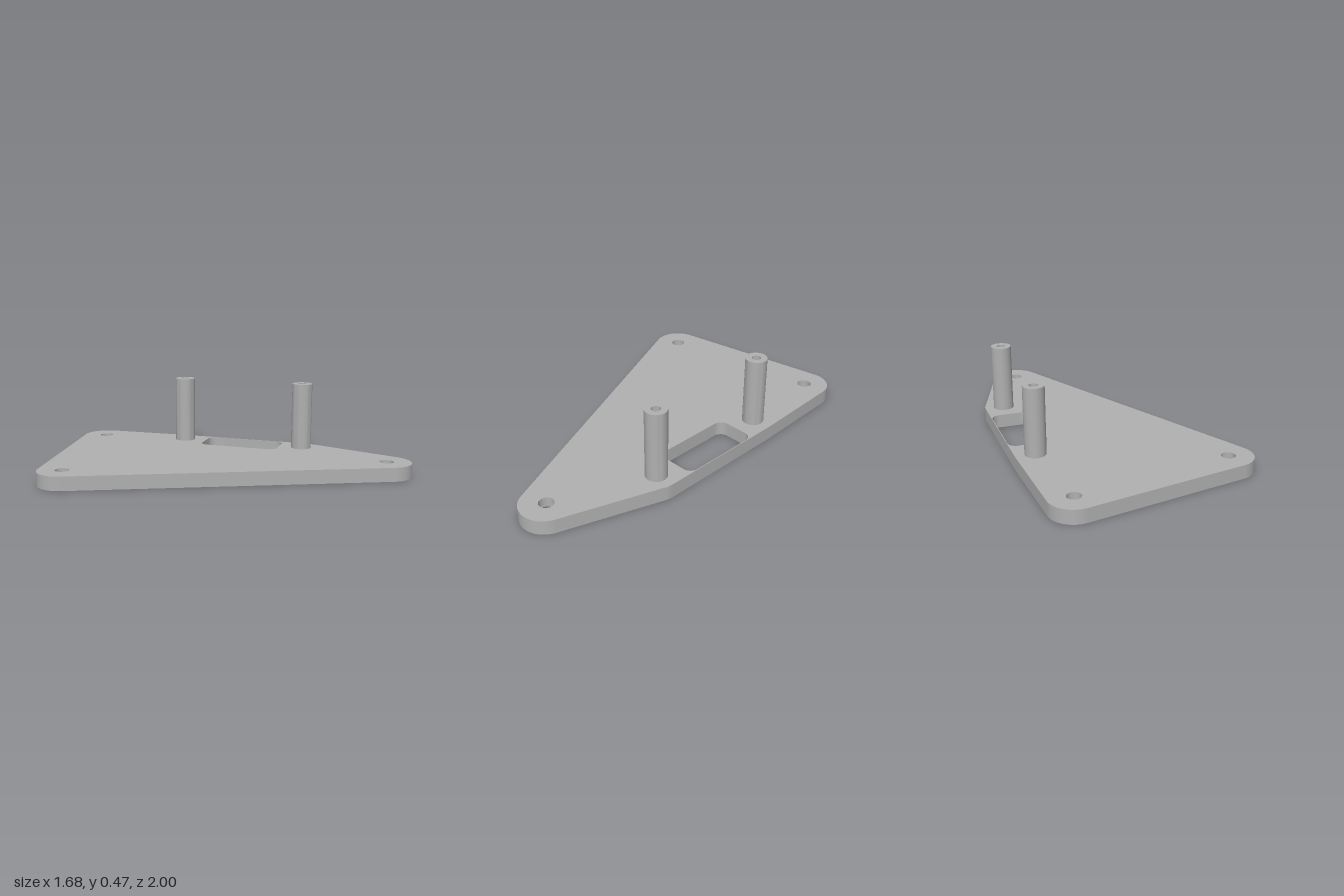
import * as THREE from 'three';
import { toCreasedNormals } from 'three/addons/utils/BufferGeometryUtils.js';

const PLATE = 0.08, STEP = 0.04, POST_TOP = 0.475;

// Plan positions as [x, z]
const screws = { left: [-0.7, -0.32], back: [0.07, -0.86], front: [0.7, 0.86] };
const posts = [[0.34, -0.395], [0.66, 0.285]];

// Outline wrapped tightly round circles [x, z, r], listed counter-clockwise from above
function wrap(circles, path) {
  const n = circles.length;
  const tangent = (a, b) => {
    const dx = b[0] - a[0], dy = a[1] - b[1];
    return Math.atan2(dy, dx) - Math.acos((a[2] - b[2]) / Math.hypot(dx, dy));
  };
  circles.forEach((c, i) => {
    const start = tangent(circles[(i + n - 1) % n], c);
    const end = tangent(c, circles[(i + 1) % n]);
    path.absarc(c[0], -c[1], c[2], start, end, false);
  });
  path.closePath();
  return path;
}

// Window beside the posts, laid out along the line joining them
function windowPath() {
  const [p, q] = posts;
  const len = Math.hypot(q[0] - p[0], q[1] - p[1]);
  const ux = (q[0] - p[0]) / len, uz = (q[1] - p[1]) / len;
  const at = (s, t) => [p[0] + s * ux + t * uz, p[1] + s * uz - t * ux, 0.05];
  return wrap([at(0.187, -0.068), at(0.568, -0.068), at(0.568, 0.061), at(0.187, 0.061)], new THREE.Path());
}

// One layer of the plate, with screw holes of the given radius
function plateLayer(holeRadius, y, height) {
  const shape = wrap([
    [...screws.left, 0.14], [...screws.front, 0.14],
    [...posts[1], 0.115], [...posts[0], 0.115], [...screws.back, 0.14],
  ], new THREE.Shape());
  shape.holes.push(windowPath());
  for (const [x, z] of Object.values(screws)) {
    shape.holes.push(new THREE.Path().absarc(x, -z, holeRadius, 0, Math.PI * 2, true));
  }
  const geo = new THREE.ExtrudeGeometry(shape, { depth: height, bevelEnabled: false, curveSegments: 20 });
  geo.rotateX(-Math.PI / 2).translate(0, y, 0);
  return toCreasedNormals(geo, 0.6);
}

export function createModel() {
  const grey = new THREE.MeshStandardMaterial({ color: 0xb0b0b0 });
  grey.name = 'grey';
  const model = new THREE.Group();
  model.name = 'mountingBracket';

  const add = (name, geo, x = 0, z = 0) => {
    const mesh = new THREE.Mesh(geo, grey);
    mesh.name = name;
    mesh.position.set(x, 0, z);
    model.add(mesh);
  };

  // Plate: wide counterbores below, narrow screw holes above
  add('plateBottom', plateLayer(0.072, 0, STEP));
  add('plateTop', plateLayer(0.04, STEP, PLATE - STEP));

  // Standoff posts with a blind hole in the top
  const profile = [[0.06, PLATE], [0.06, POST_TOP], [0.025, POST_TOP], [0.025, 0.2], [0, 0.2]]
    .map(([r, y]) => new THREE.Vector2(r, y));
  const postGeo = toCreasedNormals(new THREE.LatheGeometry(profile, 40), 0.6);
  posts.forEach(([x, z], i) => add(i ? 'frontPost' : 'backPost', postGeo, x, z));

  return model;
}
